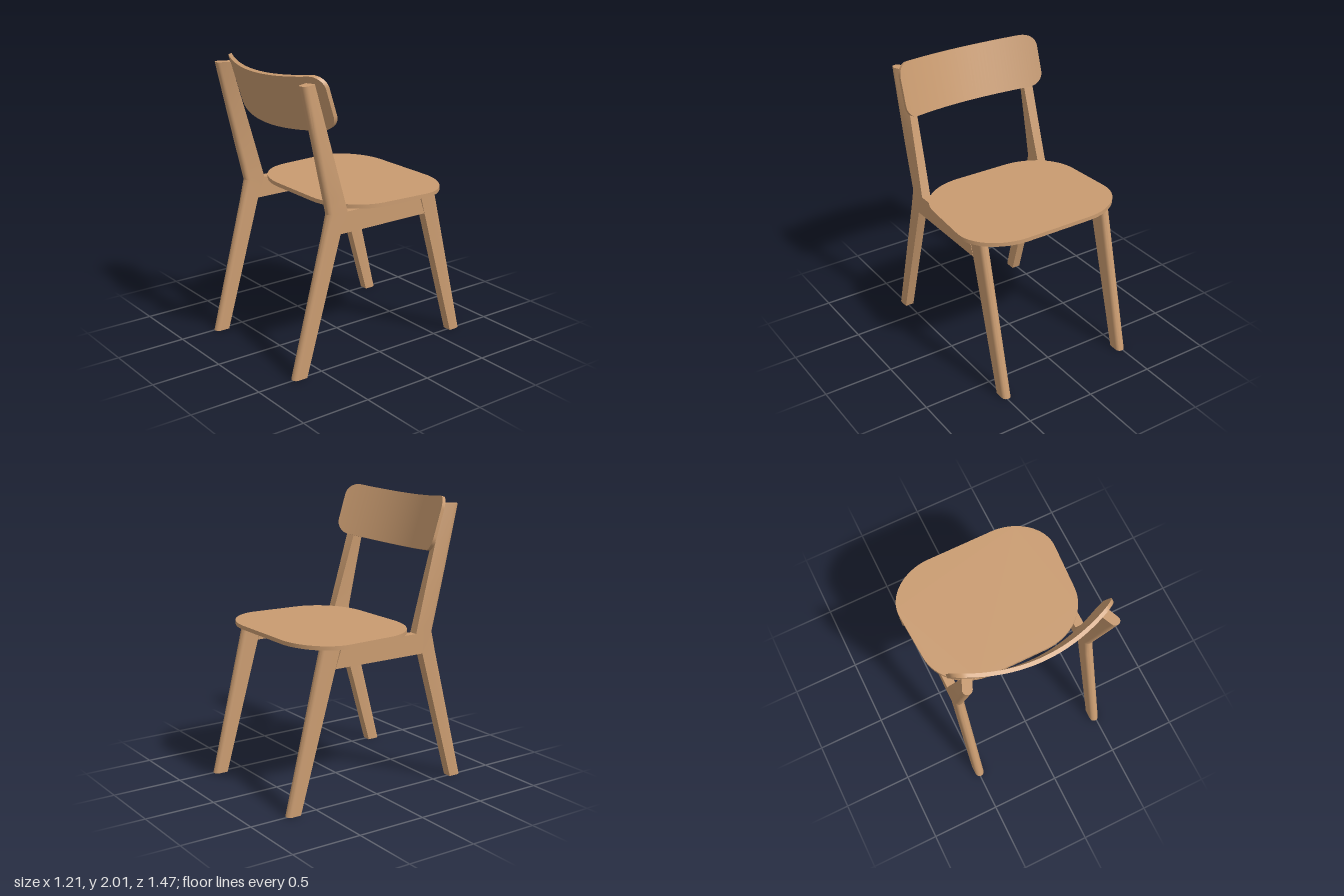
import * as THREE from 'three';
import { toCreasedNormals } from 'three/addons/utils/BufferGeometryUtils.js';

const wood = new THREE.MeshStandardMaterial({ color: 0xc99b70 });
const HALF = 0.0325;   // half thickness of the side frames
const FRAME_X = 0.4925;
const FRAME_TOP = 1.095;

function part(name, geometry) {
  const mesh = new THREE.Mesh(geometry, wood);
  mesh.name = name;
  return mesh;
}

// Loft of D-shaped sections, flat towards the seat and rounded outwards (+z).
// Each station is [y, inner z, outer z, twist].
function legGeometry(stations) {
  const arc = 10, n = arc + 3;
  const pos = [], index = [];
  for (const [y, zi, zo, twist] of stations) {
    const zc = (zi + zo) / 2, c = Math.cos(twist), s = Math.sin(twist);
    const ring = [[HALF, zi - zc], [-HALF, zi - zc]];
    for (let i = 0; i <= arc; i++) {
      const a = Math.PI * (1 - i / arc);
      ring.push([HALF * Math.cos(a), zo - HALF - zc + HALF * Math.sin(a)]);
    }
    for (const [x, z] of ring) pos.push(x * c + z * s, y, zc - x * s + z * c);
  }
  for (let k = 0; k < stations.length - 1; k++) {
    for (let i = 0; i < n; i++) {
      const a = k * n + i, b = k * n + (i + 1) % n;
      index.push(a, b, b + n, a, b + n, a + n);
    }
  }
  const top = (stations.length - 1) * n;
  for (let i = 1; i < n - 1; i++) {
    index.push(top, top + i, top + i + 1, 0, i + 1, i);
  }
  const g = new THREE.BufferGeometry();
  g.setAttribute('position', new THREE.Float32BufferAttribute(pos, 3));
  g.setIndex(index);
  return toCreasedNormals(g, 0.4);
}

// Rear leg that runs on into the back post, which twists to follow the backrest
function rearLegGeometry(side) {
  const stations = [[0, 0.635, 0.735, 0], [0.95, 0.36, 0.487, 0]];
  const steps = 8;
  for (let i = 0; i <= steps; i++) {
    const t = i / steps;
    stations.push([
      THREE.MathUtils.lerp(FRAME_TOP, 1.96, t),
      THREE.MathUtils.lerp(0.303, 0.55, t),
      THREE.MathUtils.lerp(0.453, 0.655, t),
      side * 0.42 * t,
    ]);
  }
  return legGeometry(stations);
}

// Side rail between the legs, drawn in (z, y)
function railGeometry() {
  const shape = new THREE.Shape([
    new THREE.Vector2(0.36, 0.95), new THREE.Vector2(0.303, FRAME_TOP),
    new THREE.Vector2(-0.31, FRAME_TOP), new THREE.Vector2(-0.36, 0.95),
  ]);
  const g = new THREE.ExtrudeGeometry(shape, { depth: HALF * 2, bevelEnabled: false });
  return g.rotateY(-Math.PI / 2).translate(HALF, 0, 0);
}

// Flat seat with wide rounded corners, drawn in (x, z)
function seatGeometry() {
  const s = new THREE.Shape();
  s.moveTo(-0.25, -0.6);
  s.lineTo(0.25, -0.6);
  s.bezierCurveTo(0.44, -0.6, 0.615, -0.465, 0.606, -0.3);
  s.lineTo(0.585, 0.04);
  s.bezierCurveTo(0.575, 0.22, 0.41, 0.36, 0.2, 0.36);
  s.lineTo(-0.2, 0.36);
  s.bezierCurveTo(-0.41, 0.36, -0.575, 0.22, -0.585, 0.04);
  s.lineTo(-0.606, -0.3);
  s.bezierCurveTo(-0.615, -0.465, -0.44, -0.6, -0.25, -0.6);
  const g = new THREE.ExtrudeGeometry(s, { depth: 0.028, bevelEnabled: false, curveSegments: 16 });
  g.rotateX(Math.PI / 2).translate(0, 1.123, 0);
  return toCreasedNormals(g, 0.4);
}

// Board with rounded corners, bent forward at the ends and leaning back
function backrestGeometry() {
  const X = 0.557, H = 0.189, R = 0.095, thick = 0.027;
  const g = new THREE.BoxGeometry(2, 2, thick, 64, 1, 1);
  const p = g.attributes.position;
  for (let i = 0; i < p.count; i++) {
    const x = X * Math.sin(p.getX(i) * Math.PI / 2);
    const over = Math.max(0, Math.abs(x) - (X - R));
    const h = H - R + Math.sqrt(Math.max(0, R * R - over * over));
    const bend = 0.147 * (x / X) ** 2;
    p.setXYZ(i, x, p.getY(i) * h, p.getZ(i) - bend);
  }
  g.rotateX(0.309).translate(0, 1.797, 0.595);
  return toCreasedNormals(g, 0.5);
}

export function createModel() {
  const chair = new THREE.Group();
  chair.name = 'chair';
  chair.add(part('seat', seatGeometry()), part('backrest', backrestGeometry()));

  for (const side of [-1, 1]) {
    const frame = new THREE.Group();
    frame.name = side > 0 ? 'leftSideFrame' : 'rightSideFrame';
    frame.position.x = side * FRAME_X;
    const shortLeg = part('shortLeg', legGeometry([
      [0, 0.635, 0.73, 0], [FRAME_TOP, 0.32, 0.46, 0],
    ]));
    shortLeg.rotation.y = Math.PI;
    frame.add(part('backPostLeg', rearLegGeometry(side)), part('sideRail', railGeometry()), shortLeg);
    chair.add(frame);
  }
  return chair;
}
